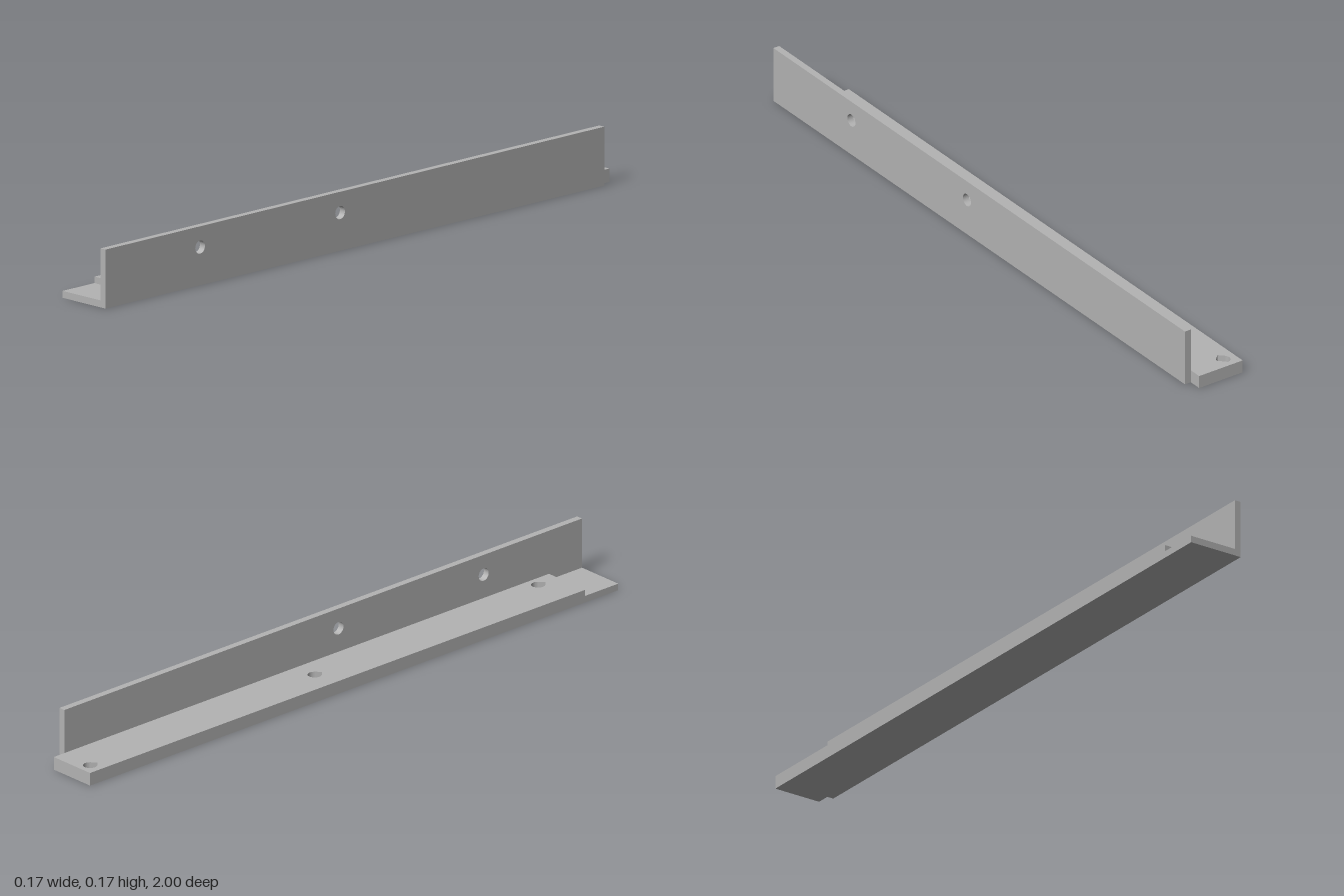
import * as THREE from 'three';

const metal = new THREE.MeshStandardMaterial({ color: 0xb3b3b3 });
metal.name = 'plain grey';

// Rectangle given by two corners
function rect(x0, y0, x1, y1) {
  return new THREE.Shape([[x0, y0], [x1, y0], [x1, y1], [x0, y1]].map(p => new THREE.Vector2(...p)));
}

function extrude(shape, depth) {
  return new THREE.ExtrudeGeometry(shape, { depth, bevelEnabled: false, curveSegments: 24 });
}

// Round hole whose sides run at 45 degrees to a point towards -y
function teardrop(x, y, r) {
  const hole = new THREE.Path();
  hole.absarc(x, y, r, -Math.PI / 4, Math.PI * 1.25, false);
  hole.lineTo(x, y - r * Math.SQRT2);
  hole.closePath();
  return hole;
}

export function createModel() {
  const model = new THREE.Group();
  model.name = 'angleBracket';
  const add = (name, geometry) => {
    const mesh = new THREE.Mesh(geometry, metal);
    mesh.name = name;
    model.add(mesh);
    return mesh;
  };

  // Lower half of the flange, full length
  const lower = extrude(rect(-0.085, -1, 0.065, 1), 0.02);
  lower.rotateX(-Math.PI / 2);
  add('flangeBase', lower);

  // Upper half stops short of the front and has blind teardrop holes
  const upperShape = rect(-0.085, -0.875, 0.065, 1);
  for (const [x, z] of [[-0.045, -0.963], [-0.007, -0.078], [0.03, 0.802]]) {
    upperShape.holes.push(teardrop(x, -z, 0.02));
  }
  const upper = extrude(upperShape, 0.0185);
  upper.rotateX(-Math.PI / 2).translate(0, 0.02, 0);
  add('flangeTop', upper);

  // Upright wall with two round through holes
  const wallShape = rect(-1, 0, 0.96, 0.17);
  for (const z of [0.628, 0.078]) {
    const hole = new THREE.Path();
    hole.absarc(-z, 0.11, 0.019, 0, Math.PI * 2, false);
    wallShape.holes.push(hole);
  }
  const wall = extrude(wallShape, 0.02);
  wall.rotateY(Math.PI / 2).translate(0.065, 0, 0);
  add('uprightWall', wall);

  return model;
}
